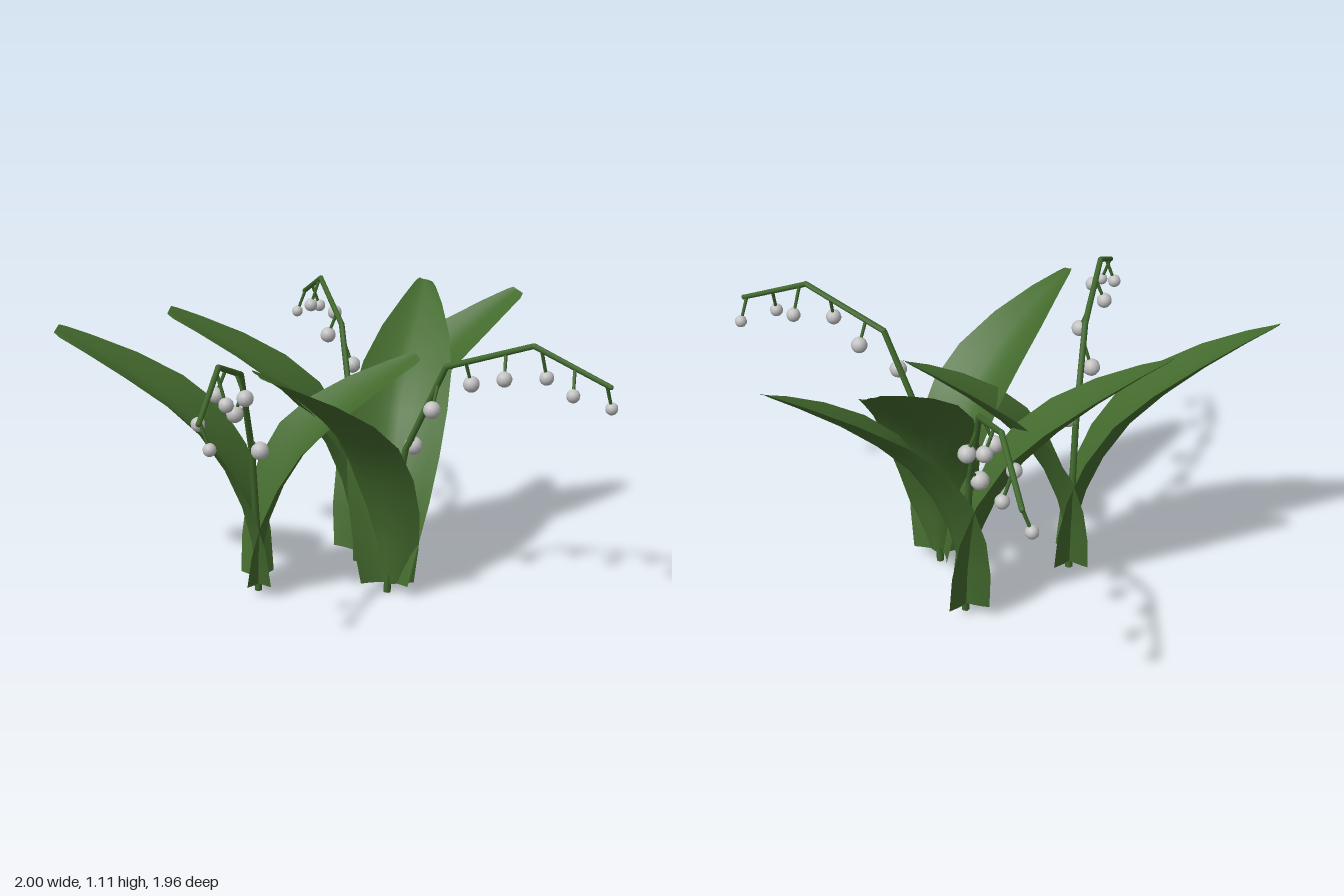
import * as THREE from 'three';

const leafMat = new THREE.MeshStandardMaterial({ color: 0x446b2e, side: THREE.DoubleSide });
leafMat.name = 'leaf green';
const stemMat = new THREE.MeshStandardMaterial({ color: 0x40682c });
stemMat.name = 'stem green';
const bellMat = new THREE.MeshStandardMaterial({ color: 0xc2c2c2 });
bellMat.name = 'bell white';

// leaf stations: reach (0..1), height, half width and curl of the raised side, half width and curl of the drooping side
const LEAF = [
  [0.0, 0.035, 0.093, 0.066, 0.093, 0.062], [0.02, 0.2, 0.128, 0.07, 0.13, 0.06], [0.07, 0.35, 0.155, 0.08, 0.165, 0.06],
  [0.16, 0.51, 0.175, 0.09, 0.19, 0.058], [0.29, 0.66, 0.18, 0.094, 0.2, 0.054], [0.45, 0.78, 0.162, 0.08, 0.19, 0.04],
  [0.65, 0.9, 0.122, 0.054, 0.15, 0.018], [0.85, 1.0, 0.07, 0.03, 0.09, 0], [0.97, 1.055, 0.039, 0.016, 0.046, -0.012],
  [1, 1.07, 0.026, 0.01, 0.028, -0.012],
];
const BASE_GAP = 0.008;
// stem polyline: reach, height
const STEM = [[0, 0], [0.02, 0.3], [0.075, 0.6], [0.24, 0.95], [0.59, 1.07], [0.89, 0.95]];
// bells: reach, height, radius
const BELLS = [
  [0.093, 0.61, 0.036], [0.2, 0.785, 0.034], [0.33, 0.885, 0.032], [0.49, 0.94, 0.03],
  [0.63, 0.945, 0.028], [0.76, 0.91, 0.026], [0.885, 0.86, 0.024],
];
// plants: base x, z, stem heading, two leaves as [tip x, tip z, tip height], drooping on the right then on the left
const PLANTS = [
  { x: 0.096, z: -0.1, to: [0.98, -0.18], leaves: [[-0.15, -0.825, 1.1], [-0.03, 0.61, 1.04]] },
  { x: -0.187, z: -0.333, to: [-0.83, -0.945], leaves: [[0.207, -0.97, 1.07], [-0.81, 0.073, 1.07]] },
  { x: -0.35, z: 0.15, to: [-0.02, 0.965], leaves: [[0.13, -0.265, 0.935], [-0.99, 0.545, 1.07]] },
];

// tapered rod between two points
function rod(a, b, r0, r1, name) {
  const d = b.clone().sub(a);
  const mesh = new THREE.Mesh(new THREE.CylinderGeometry(r1, r0, d.length(), 7), stemMat);
  mesh.position.copy(a).addScaledVector(d, 0.5);
  mesh.quaternion.setFromUnitVectors(new THREE.Vector3(0, 1, 0), d.normalize());
  mesh.name = name;
  return mesh;
}

// arching channelled blade growing along +x; droop is the sign of z of the drooping side
function leafGeometry(reach, height, droop) {
  const cols = 8, pos = [], idx = [], y0 = LEAF[0][1];
  const scaleY = (height - y0) / (LEAF[LEAF.length - 1][1] - y0);
  const spine = LEAF.map(([r, y]) => new THREE.Vector2(BASE_GAP + r * (reach - BASE_GAP), y0 + (y - y0) * scaleY));
  LEAF.forEach(([, , highWidth, highCurl, lowWidth, lowCurl], i) => {
    const t = spine[Math.min(i + 1, spine.length - 1)].clone().sub(spine[Math.max(i - 1, 0)]).normalize();
    for (let j = 0; j <= cols; j++) {
      const u = (j / cols) * 2 - 1;
      const low = u * droop > 0;
      const d = (low ? lowCurl : highCurl) * Math.pow(Math.abs(u), 1.5);
      const lift = i ? t.x * d : 0.012 * Math.abs(u);
      pos.push(spine[i].x - t.y * d, spine[i].y + lift, (low ? lowWidth : highWidth) * u);
      if (i && j) {
        const a = (i - 1) * (cols + 1) + j - 1, b = a + cols + 1;
        idx.push(a, a + 1, b, b, a + 1, b + 1);
      }
    }
  });
  const g = new THREE.BufferGeometry();
  g.setAttribute('position', new THREE.Float32BufferAttribute(pos, 3));
  g.setIndex(idx);
  g.computeVertexNormals();
  return g;
}

// height of the stem at a given reach
function stemHeight(r) {
  for (let i = 1; i < STEM.length; i++) {
    const [r0, y0] = STEM[i - 1], [r1, y1] = STEM[i];
    if (r <= r1) return y0 + (y1 - y0) * (r - r0) / (r1 - r0);
  }
  return STEM[STEM.length - 1][1];
}

// flower stem with alternating hanging bells, arching along +x
function flowerStem() {
  const g = new THREE.Group();
  g.name = 'flowerStem';
  const pts = STEM.map(([r, y]) => new THREE.Vector3(r, y, 0));
  for (let i = 1; i < pts.length; i++) {
    const r0 = 0.015 - 0.001 * (i - 1), r1 = r0 - 0.001;
    g.add(rod(pts[i - 1], pts[i], r0, r1, 'stemSegment'));
    const joint = new THREE.Mesh(new THREE.SphereGeometry(r1, 7, 5), stemMat);
    joint.position.copy(pts[i]);
    joint.name = 'stemJoint';
    g.add(joint);
  }
  BELLS.forEach(([r, y, radius], i) => {
    const centre = new THREE.Vector3(r, y, i % 2 ? 0.035 : -0.035);
    const rs = Math.min(r + (i < 2 ? 0.01 : -0.01), 0.885);
    g.add(rod(new THREE.Vector3(rs, stemHeight(rs), 0), centre, 0.007, 0.006, 'bellStalk'));
    const bell = new THREE.Mesh(new THREE.SphereGeometry(radius, 12, 9), bellMat);
    bell.position.copy(centre);
    bell.name = 'bell';
    g.add(bell);
  });
  return g;
}

export function createModel() {
  const model = new THREE.Group();
  model.name = 'floweringPlants';
  for (const p of PLANTS) {
    const plant = new THREE.Group();
    plant.name = 'plant';
    plant.position.set(p.x, 0, p.z);
    const heading = (x, z) => Math.atan2(-(z - p.z), x - p.x);
    const stem = flowerStem();
    stem.rotation.y = heading(...p.to);
    plant.add(stem);
    p.leaves.forEach(([x, z, h], i) => {
      const reach = Math.hypot(x - p.x, z - p.z);
      const leaf = new THREE.Mesh(leafGeometry(reach, h, i ? -1 : 1), leafMat);
      leaf.rotation.y = heading(x, z);
      leaf.name = 'leaf';
      plant.add(leaf);
    });
    model.add(plant);
  }
  return model;
}
